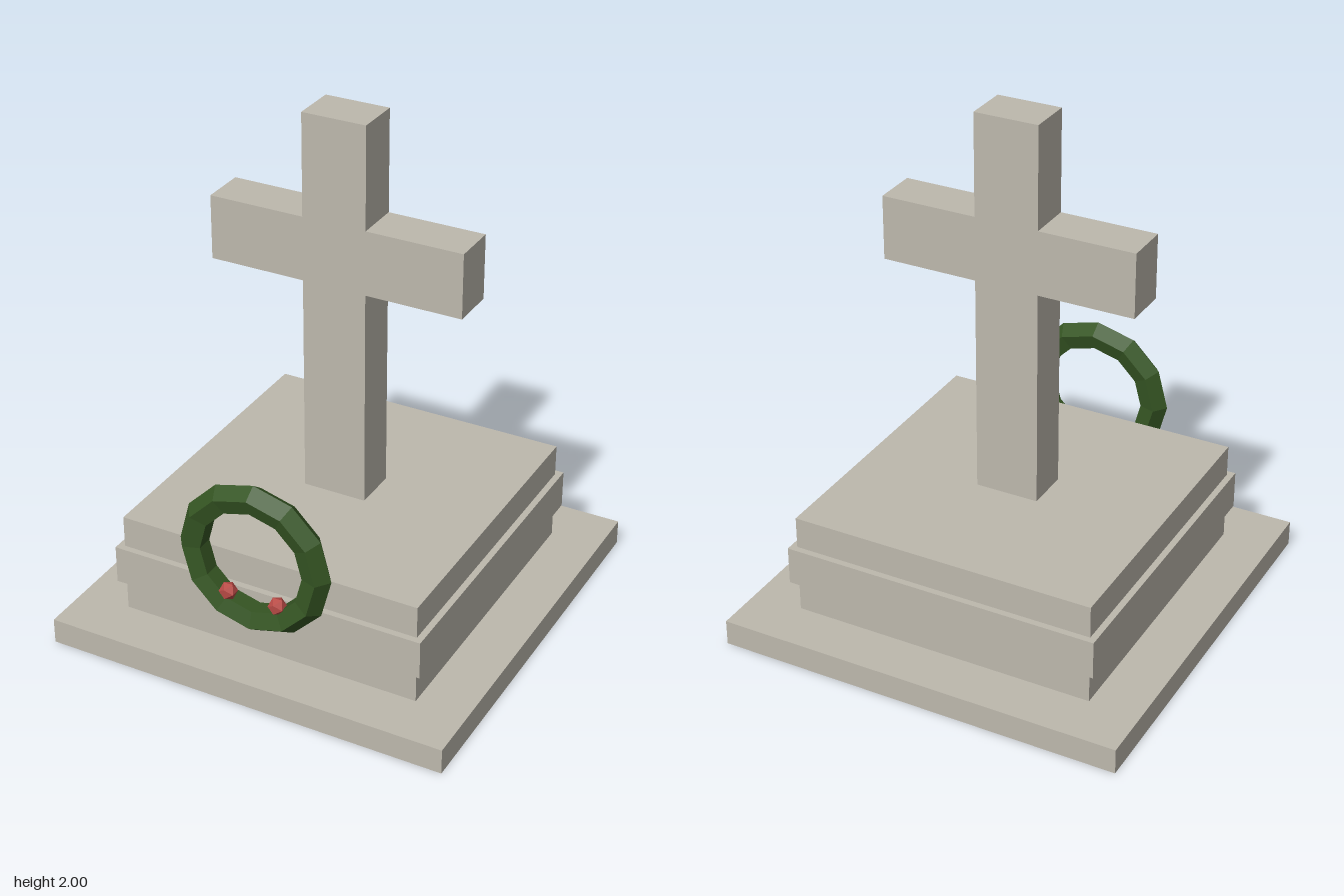
import * as THREE from 'three';

const stone = new THREE.MeshStandardMaterial({ color: 0xbdb8ad });
stone.name = 'stone';
const leaf = new THREE.MeshStandardMaterial({ color: 0x355523, flatShading: true });
leaf.name = 'leaf green';
const red = new THREE.MeshStandardMaterial({ color: 0xb84a45, flatShading: true });
red.name = 'berry red';

export function createModel() {
  const group = new THREE.Group();
  group.name = 'stoneCrossMemorial';

  function add(name, geometry, material, x, y, z, parent = group) {
    const mesh = new THREE.Mesh(geometry, material);
    mesh.name = name;
    mesh.position.set(x, y, z);
    parent.add(mesh);
    return mesh;
  }

  // Square base: ground slab, plinth and a band around the plinth
  const tiers = [
    ['groundSlab', 1.6, 0, 0.1],
    ['plinth', 1.2, 0.1, 0.5],
    ['plinthBand', 1.25, 0.225, 0.375],
  ];
  for (const [name, width, bottom, top] of tiers) {
    add(name, new THREE.BoxGeometry(width, top - bottom, width), stone, 0, (bottom + top) / 2, 0);
  }

  // Cross: right half of the outline, mirrored for the left
  const half = [[0.125, 0.5], [0.125, 1.355], [0.5, 1.355], [0.5, 1.605], [0.125, 1.605], [0.125, 2]];
  const outline = [...half, ...half.map(([x, y]) => [-x, y]).reverse()];
  const crossShape = new THREE.Shape(outline.map(([x, y]) => new THREE.Vector2(x, y)));
  const depth = 0.175;
  const crossGeometry = new THREE.ExtrudeGeometry(crossShape, { depth, bevelEnabled: false });
  add('cross', crossGeometry, stone, 0, 0, -depth / 2);

  // Wreath standing against the front of the band, with two berries
  const wreath = new THREE.Group();
  wreath.name = 'wreath';
  wreath.position.set(0, 0.554, 0.675);
  group.add(wreath);
  add('wreathRing', new THREE.TorusGeometry(0.25, 0.055, 5, 12), leaf, 0, 0, 0, wreath);
  for (const side of [-1, 1]) {
    add(side > 0 ? 'leftBerry' : 'rightBerry', new THREE.IcosahedronGeometry(0.035, 0), red,
      side * 0.1, -0.154, 0.02, wreath);
  }

  return group;
}
